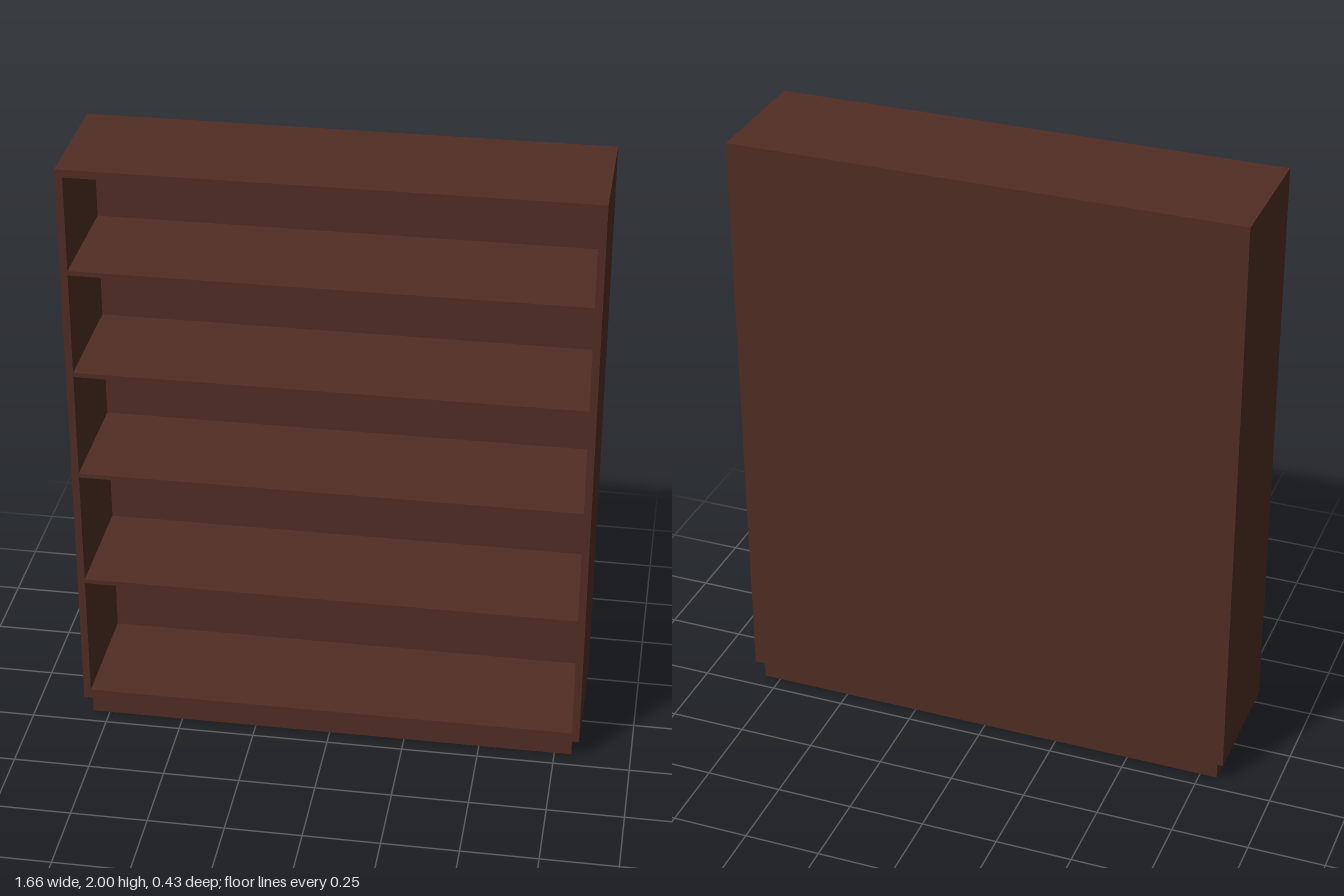
import * as THREE from 'three';

export function createModel() {
  const model = new THREE.Group();
  model.name = 'bookcase';
  const wood = new THREE.MeshStandardMaterial({ color: 0x502d24 });
  wood.name = 'darkBrownWood';

  // Board given by its lower and upper limits on each axis
  function board(name, x0, x1, y0, y1, z0, z1) {
    const mesh = new THREE.Mesh(new THREE.BoxGeometry(x1 - x0, y1 - y0, z1 - z0), wood);
    mesh.name = name;
    mesh.position.set((x0 + x1) / 2, (y0 + y1) / 2, (z0 + z1) / 2);
    model.add(mesh);
  }

  const W = 0.83, inner = 0.806, D = 0.214, backFace = -0.188;
  const base = 0.068, floorTop = 0.1, ceiling = 1.975;

  // Recessed plinth
  board('plinth', -inner, inner, 0, base, -0.193, 0.193);

  // Carcass: sides, top, bottom and back
  board('leftSide', inner, W, base, 2, -D, D);
  board('rightSide', -W, -inner, base, 2, -D, D);
  board('topPanel', -inner, inner, ceiling, 2, -D, D);
  board('bottomPanel', -inner, inner, base, floorTop, -D, D);
  board('backPanel', -inner, inner, floorTop, ceiling, -D, backFace);

  // Thin shelves, wider gaps towards the bottom
  [0.54, 0.942, 1.308, 1.662].forEach((top, i) =>
    board('shelf' + (i + 1), -inner, inner, top - 0.015, top, backFace, D));

  return model;
}
